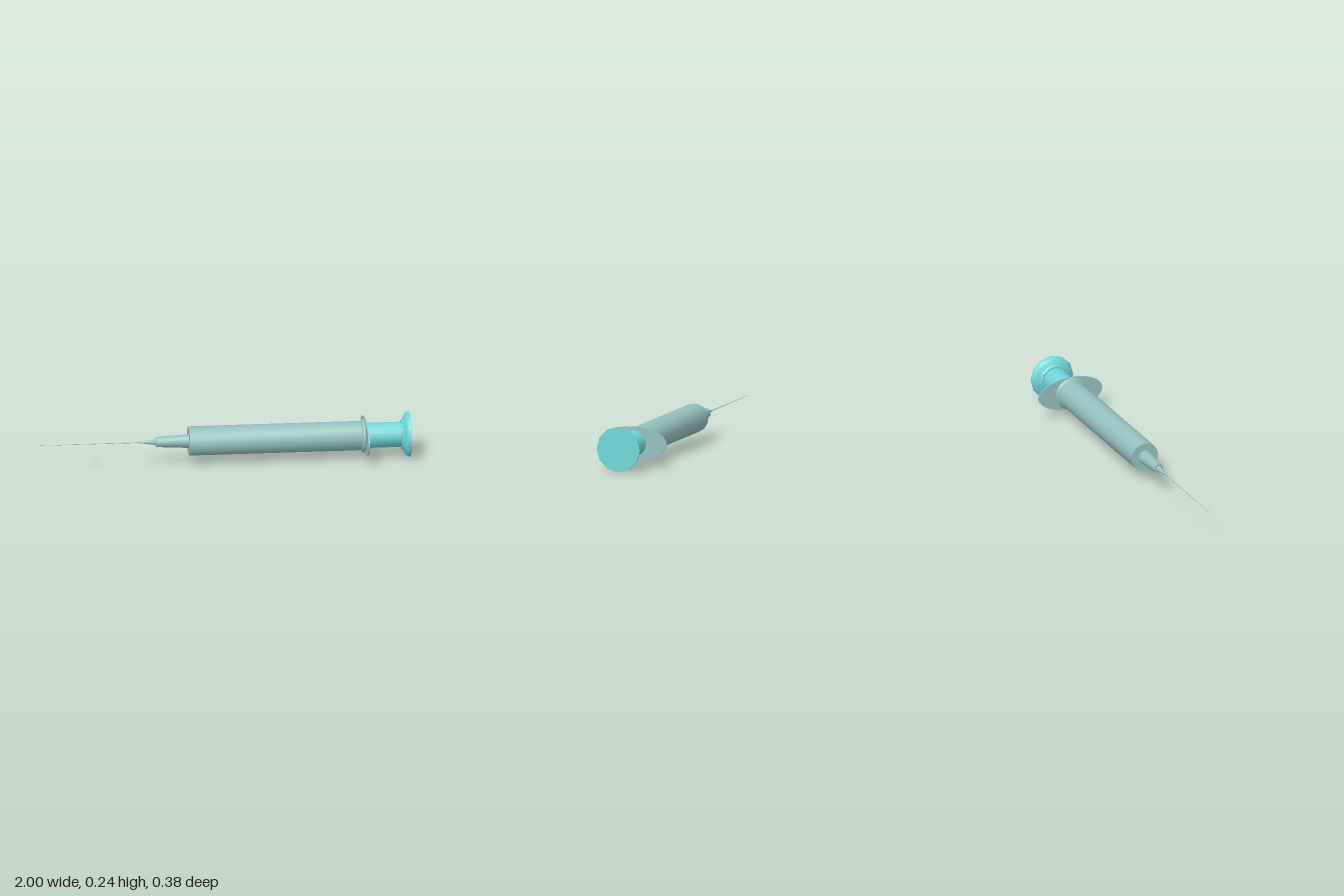
import * as THREE from 'three';
import { toCreasedNormals } from 'three/addons/utils/BufferGeometryUtils.js';

const clear = new THREE.MeshStandardMaterial({ color: 0x96c0c0, side: THREE.DoubleSide });
const teal = new THREE.MeshStandardMaterial({ color: 0x70d8d8 });

// Turned part along the x axis; profile is a list of [x, radius] with x rising
function turned(name, profile, sides, material) {
  const points = profile.map(([x, r]) => new THREE.Vector2(r, x));
  const geometry = toCreasedNormals(new THREE.LatheGeometry(points, sides), Math.PI / 5);
  geometry.rotateZ(-Math.PI / 2);
  const mesh = new THREE.Mesh(geometry, material);
  mesh.name = name;
  return mesh;
}

// Thin oval finger grip with a hole for the plunger rod
function fingerFlange() {
  const shape = new THREE.Shape();
  shape.absellipse(0, 0, 0.188, 0.091, 0, Math.PI * 2);
  const hole = new THREE.Path();
  hole.absarc(0, 0, 0.071, 0, Math.PI * 2, true);
  shape.holes.push(hole);
  const geometry = new THREE.ExtrudeGeometry(shape, { depth: 0.007, bevelEnabled: false, curveSegments: 12 });
  geometry.rotateY(Math.PI / 2);
  const mesh = new THREE.Mesh(geometry, clear);
  mesh.name = 'fingerFlange';
  mesh.position.x = 0.758;
  mesh.rotation.y = 0.012;
  return mesh;
}

export function createModel() {
  const model = new THREE.Group();
  model.name = 'syringe';

  // The whole syringe leans very slightly from its axis
  const body = new THREE.Group();
  body.name = 'syringeBody';
  body.position.set(0, 0.128, 0.0015);
  body.rotation.set(0, 0.0015, -0.006);
  model.add(body);

  body.add(
    turned('needle', [[-1, 0], [-0.98, 0.001], [-0.43, 0.0025]], 8, clear),
    turned('needleHub', [[-0.44, 0], [-0.44, 0.004], [-0.355, 0.017]], 12, clear),
    turned('nozzle', [[-0.358, 0], [-0.358, 0.027], [-0.18, 0.037]], 16, clear),
    turned('barrel', [[-0.183, 0], [-0.183, 0.078], [0.76, 0.078]], 16, clear),
    turned('barrelCollar', [[0.738, 0.077], [0.742, 0.086], [0.748, 0.09], [0.756, 0.09], [0.76, 0.086]], 16, clear),
    fingerFlange(),
    turned('plungerRod', [[0.5, 0], [0.5, 0.068], [0.96, 0.068]], 12, teal),
    turned('plungerCap', [
      [0.953, 0.06], [0.953, 0.078], [0.962, 0.084], [0.968, 0.099],
      [0.978, 0.115], [0.99, 0.122], [1, 0.122], [1, 0],
    ], 12, teal),
  );
  return model;
}
